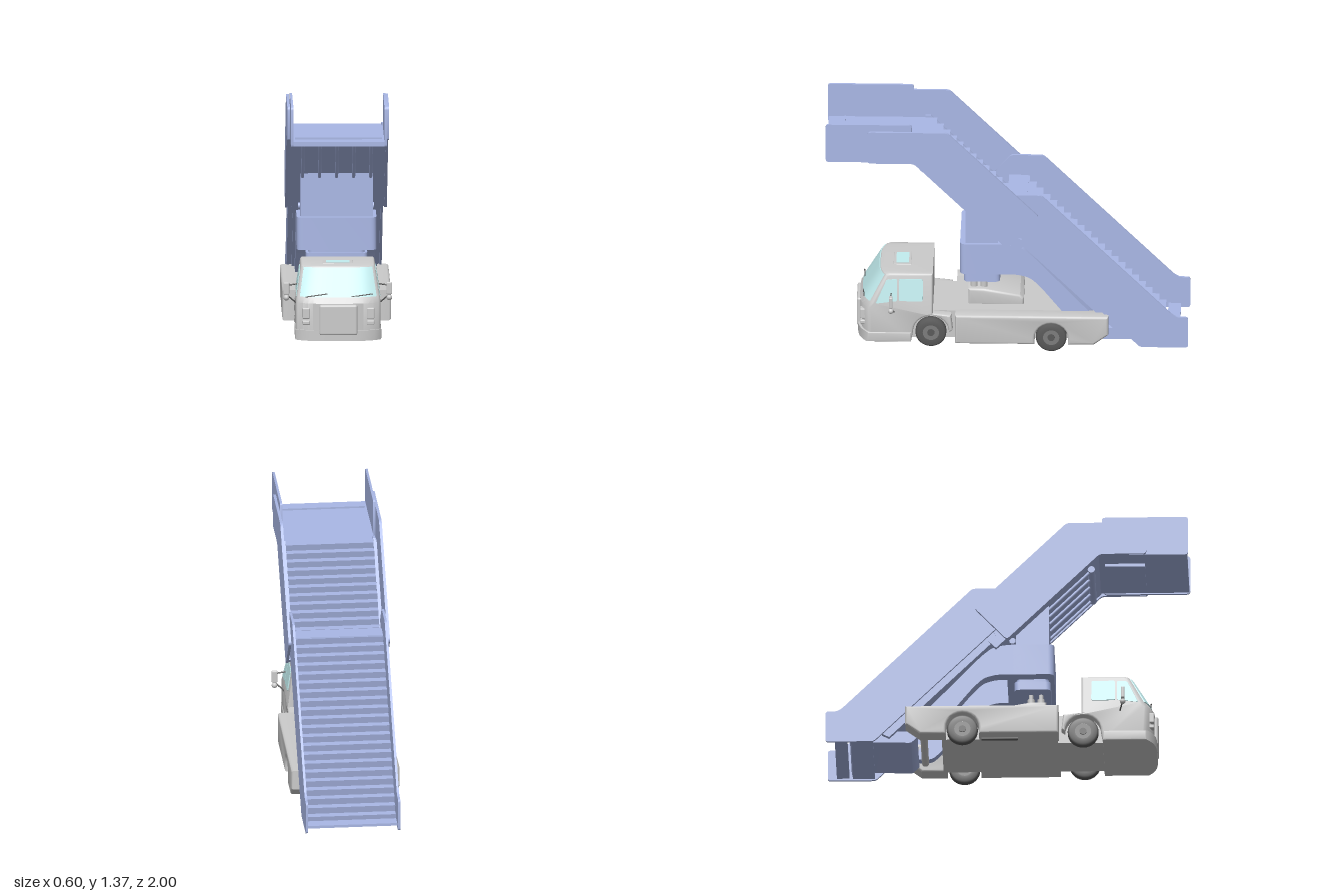
import * as THREE from 'three';
import { toCreasedNormals } from 'three/addons/utils/BufferGeometryUtils.js';
import { RoundedBoxGeometry } from 'three/addons/geometries/RoundedBoxGeometry.js';

const mat = (color) => new THREE.MeshStandardMaterial({ color });
const grey = mat(0xcccccc), blue = mat(0xaab8e6), glass = mat(0xc3eef0), dark = mat(0x5a5a5a), rimGrey = mat(0x7c7c7c);

export function createModel() {
  const root = new THREE.Group();
  const add = (name, geo, material, x = 0, y = 0, z = 0) => {
    const m = new THREE.Mesh(geo, material);
    m.name = name;
    m.position.set(x, y, z);
    root.add(m);
    return m;
  };
  const box = (name, material, x0, x1, y0, y1, z0, z1, r = 0) => {
    const s = [x1 - x0, y1 - y0, z1 - z0];
    const geo = r ? new RoundedBoxGeometry(...s, 3, r) : new THREE.BoxGeometry(...s);
    return add(name, geo, material, (x0 + x1) / 2, (y0 + y1) / 2, (z0 + z1) / 2);
  };

  // Closed outline with every corner rounded by r
  const outline = (p, r) => {
    const shape = new THREE.Shape();
    p.forEach((b, i) => {
      const a = p[(i + p.length - 1) % p.length], c = p[(i + 1) % p.length];
      const near = (q) => b.clone().lerp(q, Math.min(0.45, r / b.distanceTo(q)));
      const s = r ? near(a) : b;
      i ? shape.lineTo(s.x, s.y) : shape.moveTo(s.x, s.y);
      if (r) { const e = near(c); shape.quadraticCurveTo(b.x, b.y, e.x, e.y); }
    });
    return shape;
  };
  // Side profile given as [z, y], extruded from x0 to x1
  const prism = (pts, x0, x1, { r = 0, bevel = 0, steps = 1 } = {}) => {
    const shape = outline(pts.map(([z, y]) => new THREE.Vector2(-z, y)), r);
    const geo = new THREE.ExtrudeGeometry(shape, {
      depth: x1 - x0 - 2 * bevel, steps, curveSegments: 4, bevelEnabled: bevel > 0,
      bevelSize: bevel, bevelThickness: bevel, bevelOffset: -bevel, bevelSegments: 3,
    });
    geo.rotateY(Math.PI / 2).translate(x0 + bevel, 0, 0);
    return toCreasedNormals(geo, 0.6);
  };
  // Block with rounded upright edges
  const slab = (name, half, y0, y1, z0, z1, r) => {
    const p = [[-half, -z0], [-half, -z1], [half, -z1], [half, -z0]].map((q) => new THREE.Vector2(...q));
    const geo = new THREE.ExtrudeGeometry(outline(p, r), { depth: y1 - y0, bevelEnabled: false, curveSegments: 6 });
    add(name, toCreasedNormals(geo.rotateX(-Math.PI / 2), 0.6), blue, 0, y0, 0);
  };
  const pair = (name, pts, x0, x1, material, opt) => {
    add(name + 'Left', prism(pts, x0, x1, opt), material);
    add(name + 'Right', prism(pts, -x1, -x0, opt), material);
  };
  // Wheel arch points running from low z to high z
  const arch = (cz, radius) => Array.from({ length: 13 }, (_, i) => {
    const a = Math.PI * i / 12;
    return [cz - radius * Math.cos(a), 0.085 + radius * Math.sin(a)];
  });
  const rod = (name, a, b, radius, material) => {
    const A = new THREE.Vector3(...a), B = new THREE.Vector3(...b), d = B.clone().sub(A);
    const m = add(name, new THREE.CylinderGeometry(radius, radius, d.length(), 12), material);
    m.position.copy(A).add(B).multiplyScalar(0.5);
    m.quaternion.setFromUnitVectors(new THREE.Vector3(0, 1, 0), d.normalize());
  };

  // Cab: narrower towards the roof and bowed in plan at the front
  const warp = (geo) => {
    const p = geo.attributes.position;
    for (let i = 0; i < p.count; i++) {
      const x = p.getX(i), z = p.getZ(i);
      const taper = 1 - 0.13 * THREE.MathUtils.clamp((p.getY(i) - 0.24) / 0.19, 0, 1);
      p.setX(i, x * taper);
      p.setZ(i, z - 0.05 * (x / 0.23) ** 4 * THREE.MathUtils.smoothstep(z, 0.5, 0.83));
    }
    geo.computeVertexNormals();
    return toCreasedNormals(geo, 0.6);
  };
  const cab = [[0.812, 0.04], [0.815, 0.235], [0.795, 0.265], [0.7, 0.423], [0.675, 0.43], [0.41, 0.43],
    [0.41, 0.2], [0.31, 0.19], [0.3, 0.1], ...arch(0.42, 0.1), [0.53, 0.03]];
  add('cabBody', warp(prism(cab, -0.234, 0.234, { bevel: 0.012, steps: 16 })), grey);
  box('cabFloor', grey, -0.185, 0.185, 0.035, 0.2, 0.28, 0.6);
  add('bumper', warp(prism([[0.826, 0.028], [0.826, 0.086], [0.53, 0.086], [0.53, 0.028]], -0.238, 0.238,
    { bevel: 0.008, steps: 16 })), grey);
  add('windshield', warp(prism([[0.8, 0.268], [0.708, 0.42], [0.69, 0.415], [0.78, 0.265]], -0.216, 0.216,
    { steps: 16 })), glass);
  for (const s of [-1, 1]) {
    const x0 = s > 0 ? 0.226 : -0.237, x1 = x0 + 0.011;
    add('doorWindow', warp(prism([[0.61, 0.275], [0.61, 0.4], [0.465, 0.4], [0.465, 0.275]], x0, x1, { r: 0.01 })), glass);
    add('quarterWindow', warp(prism([[0.775, 0.26], [0.7, 0.395], [0.625, 0.4], [0.625, 0.275]], x0, x1, { r: 0.01 })), glass);
    box('headlight', grey, s * 0.178 - 0.021, s * 0.178 + 0.021, 0.15, 0.21, 0.77, 0.812, 0.006);
    box('indicator', grey, s * 0.178 - 0.021, s * 0.178 + 0.021, 0.116, 0.14, 0.77, 0.812, 0.006);
    box('mirror', grey, s * 0.284 - 0.016, s * 0.284 + 0.016, 0.258, 0.326, 0.63, 0.65, 0.006);
    add('smallMirror', new THREE.SphereGeometry(0.016, 12, 8), grey, s * 0.284, 0.24, 0.64);
    rod('mirrorArm', [s * 0.22, 0.2, 0.62], [s * 0.275, 0.25, 0.64], 0.004, dark);
    rod('mirrorArm', [s * 0.21, 0.32, 0.64], [s * 0.275, 0.31, 0.64], 0.004, dark);
  }
  box('grille', grey, -0.105, 0.105, 0.06, 0.23, 0.78, 0.832, 0.012);
  for (const x of [-0.18, 0.07]) rod('wiper', [x, 0.27, 0.795], [x + 0.12, 0.286, 0.79], 0.003, dark);
  box('roofHatch', grey, -0.085, 0.085, 0.42, 0.432, 0.53, 0.63, 0.004);
  box('roofHatchGlass', glass, -0.065, 0.065, 0.42, 0.434, 0.545, 0.615);

  // Wheels
  const tyre = new THREE.LatheGeometry([[0.045, -0.022], [0.075, -0.022], [0.085, -0.014], [0.085, 0.014],
    [0.075, 0.022], [0.045, 0.022]].map((p) => new THREE.Vector2(...p)), 32).rotateZ(Math.PI / 2);
  for (const s of [-1, 1]) for (const [x, z] of [[0.212, 0.42], [0.26, -0.245]]) {
    add('tyre', tyre, dark, s * x, 0.085, z);
    add('rim', new THREE.CylinderGeometry(0.047, 0.047, 0.034, 24).rotateZ(Math.PI / 2), rimGrey, s * x, 0.085, z);
    add('hub', new THREE.CylinderGeometry(0.02, 0.02, 0.046, 16).rotateZ(Math.PI / 2), dark, s * x, 0.085, z);
  }

  // Chassis: centre block and two sides that leave a slot at the rear
  box('chassisCentre', grey, -0.2135, 0.2135, 0.05, 0.22, -0.36, 0.285);
  pair('chassisSide', [[0.285, 0.05], [0.285, 0.22], [-0.56, 0.22], [-0.56, 0.11], [-0.48, 0.05], [-0.337, 0.05],
    ...arch(-0.245, 0.092), [-0.153, 0.05]], 0.2, 0.3, grey, { bevel: 0.013 });
  rod('rearCrossBar', [-0.21, 0.1, -0.46], [0.21, 0.1, -0.46], 0.02, grey);
  rod('exhaust', [-0.24, 0.04, 0.06], [-0.24, 0.04, -0.14], 0.009, dark);
  add('liftHousing', prism([[0.215, 0.21], [0.215, 0.31], [0.13, 0.31], [-0.07, 0.275], [-0.09, 0.255], [-0.09, 0.21]],
    -0.14, 0.14, { bevel: 0.012 }), grey);
  for (const x of [-0.09, 0, 0.09]) for (const z of [0.13, 0.185]) {
    rod('liftPiston', [x, 0.28, z], [x, 0.39, z], 0.013, grey);
    add('pistonCap', new THREE.CylinderGeometry(0.02, 0.02, 0.035, 16), grey, x, 0.325, z);
  }

  // Lift column and curved supporting arms
  slab('liftCollar', 0.17, 0.37, 0.42, 0.04, 0.24, 0.03);
  slab('liftNeck', 0.155, 0.41, 0.45, 0.05, 0.23, 0.03);
  slab('liftBlock', 0.22, 0.44, 0.622, 0, 0.26, 0.035);
  add('column', prism([[0.23, 0.6], [0.23, 0.865], [0.05, 0.685], [0.05, 0.6]], -0.2, 0.2), blue);
  pair('arm', [[0.1, 0.44], [0.1, 0.62], [-0.01, 0.62], [-0.08, 0.605], [-0.145, 0.55], [-0.47, 0.2], [-0.53, 0.1],
    [-0.42, 0.1], [-0.31, 0.21], [-0.19, 0.36], [-0.13, 0.42], [-0.06, 0.44]], 0.15, 0.22, blue, { r: 0.03 });
  add('footBracket', prism([[-0.49, 0.08], [-0.53, 0.11], [-0.68, 0.11], [-0.75, 0.045], [-0.53, 0.04]],
    -0.2, 0.2, { r: 0.01 }), blue);

  // A sawtooth flight whose nosings lie on y = z + offset, with a square-cut lower end
  const flight = (name, z0, z1, offset, thickness, half) => {
    const n = Math.round((z1 - z0) / 0.037), d = (z1 - z0) / n, t = thickness / 2;
    const pts = [[z1, z1 + offset - thickness], [z1, z1 + offset]];
    for (let i = 0; i < n; i++) {
      const z = z1 - i * d;
      pts.push([z - d - 0.008, z + offset], [z - d, z + offset - d]);
    }
    pts.push([z0 + t, Math.max(0.032, z0 + offset - t)]);
    add(name, prism(pts, -half, half), blue);
  };

  // Lower flight
  flight('lowerSteps', -0.86, -0.07, 0.892, 0.08, 0.25);
  box('lowerTopPlate', blue, -0.25, 0.25, 0.81, 0.825, -0.108, 0.0);
  box('bottomPlate', blue, -0.25, 0.25, 0.035, 0.05, -0.95, -0.88);
  box('bottomBar', blue, -0.25, 0.25, 0.032, 0.05, -0.86, -0.74);
  pair('lowerParapet', [[-0.01, 0.945], [-0.19, 0.945], [-0.91, 0.225], [-0.94, 0.207], [-1, 0.207], [-1, 0.024],
    [-0.735, 0.024], [-0.04, 0.72], [0.08, 0.84]], 0.249, 0.262, blue, { r: 0.016 });
  pair('lowerStringer', [[0, 0.71], [0, 0.77], [-0.69, 0.08], [-0.65, 0.06]], 0.21, 0.235, blue);

  // Upper flight
  flight('upperSteps', -0.1, 0.44, 0.732, 0.08, 0.243);
  add('upperUnderside', prism([[0.51, 1.15], [0, 0.64], [-0.02, 0.66], [0.47, 1.155]], -0.27, 0.27), blue);
  pair('upperParapet', [[0.77, 1.14], [0.77, 1.33], [0.33, 1.33], [-0.18, 0.82], [0, 0.627], [0.513, 1.14]],
    0.266, 0.281, blue, { r: 0.02 });
  pair('stepTrim', [[0.46, 1.15], [0.46, 1.185], [0.43, 1.185], [0, 0.755], [0, 0.68]], 0.243, 0.256, blue);
  for (let i = -2; i <= 2; i++) rod('underRib', [i * 0.094, 1.08, 0.465], [i * 0.094, 0.845, 0.23], 0.009, blue);
  rod('underCrossBar', [-0.21, 1.08, 0.465], [0.21, 1.08, 0.465], 0.02, blue);
  for (const s of [-1, 1]) rod('stopPin', [s * 0.19, 0.65, 0.03], [s * 0.21, 0.65, 0.03], 0.018, blue);

  // Top landing
  box('landingFloor', blue, -0.252, 0.252, 1.147, 1.172, 0.43, 0.995);
  box('landingSeam', blue, -0.24, 0.24, 1.17, 1.182, 0.9, 0.907);
  box('landingUnderBox', blue, -0.135, 0.135, 1.13, 1.148, 0.54, 0.76);
  pair('landingParapet', [[1, 1.14], [1, 1.368], [0.525, 1.368], [0.525, 1.14]], 0.251, 0.264, blue, { r: 0.018 });
  return root;
}
